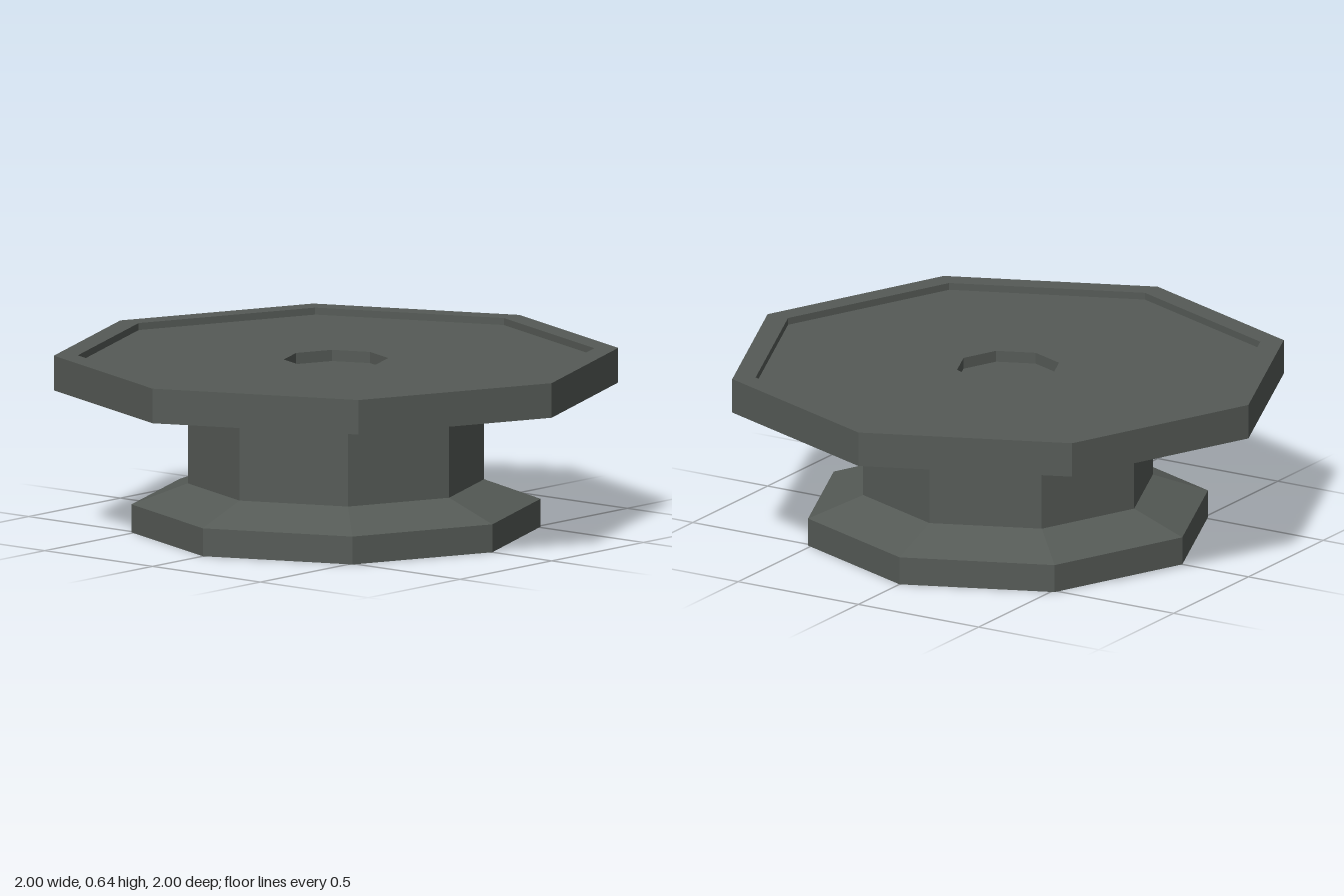
import * as THREE from 'three';

const SIDES = 8;

// Octagonal part turned from a [radius, height] profile, listed bottom to top on the outside
function turned(name, profile, material) {
  const points = profile.map(([r, y]) => new THREE.Vector2(r, y));
  const geometry = new THREE.LatheGeometry(points, SIDES).toNonIndexed();
  geometry.computeVertexNormals();
  const mesh = new THREE.Mesh(geometry, material);
  mesh.name = name;
  return mesh;
}

export function createModel() {
  const group = new THREE.Group();
  group.name = 'octagonalPedestal';

  const darkMetal = new THREE.MeshStandardMaterial({
    color: 0x555a56, flatShading: true, side: THREE.DoubleSide,
  });
  darkMetal.name = 'dark metal';

  // Hollow flared foot, open underneath
  group.add(turned('base', [[0.725, 0], [0.725, 0.1], [0.525, 0.173]], darkMetal));

  // Hollow column
  group.add(turned('column', [[0.525, 0.173], [0.525, 0.453]], darkMetal));

  // Platform: flat underside, sloped flange, raised rim, shallow tray and centre socket
  group.add(turned('platform', [
    [0, 0.453], [0.525, 0.453], [1, 0.513], [1, 0.637],
    [0.915, 0.637], [0.915, 0.612], [0.185, 0.612], [0.185, 0.572], [0, 0.572],
  ], darkMetal));

  return group;
}
